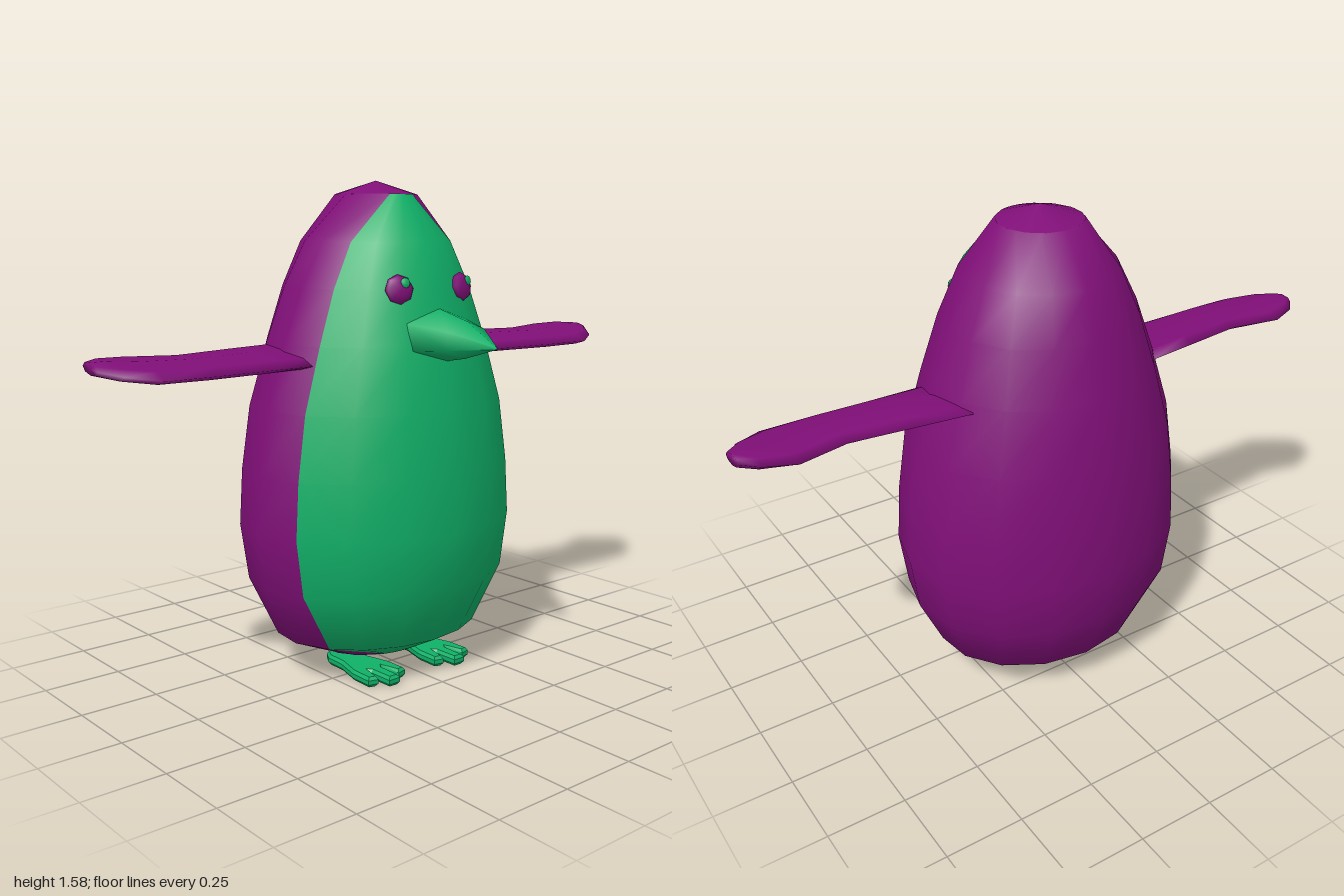
import * as THREE from 'three';

const green = new THREE.MeshStandardMaterial({ color: 0x10b068, name: 'green' });
const purple = new THREE.MeshStandardMaterial({ color: 0x800f78, name: 'purple' });

// Skin a list of rings (arrays of Vector3, equal length), capped at both ends.
// A column index below split goes to material group 0, the rest to group 1.
function loft(rings, split = Infinity) {
  const n = rings[0].length, pos = [], groups = [[], []];
  rings.forEach(r => r.forEach(p => pos.push(p.x, p.y, p.z)));
  const mid = r => r.reduce((s, p) => s.add(p), new THREE.Vector3()).divideScalar(n);
  const first = rings.length * n, last = first + 1;
  pos.push(...mid(rings[0]).toArray(), ...mid(rings[rings.length - 1]).toArray());
  for (let j = 0; j < n; j++) {
    const k = (j + 1) % n, g = groups[j < split ? 0 : 1];
    for (let i = 0; i < rings.length - 1; i++) {
      const a = i * n + j, b = i * n + k;
      g.push(a, b, b + n, a, b + n, a + n);
    }
    const top = (rings.length - 1) * n;
    groups[split === Infinity ? 0 : 1].push(first, k, j, last, top + j, top + k);
  }
  const geo = new THREE.BufferGeometry();
  geo.setAttribute('position', new THREE.Float32BufferAttribute(pos, 3));
  geo.setIndex([...groups[0], ...groups[1]]);
  geo.addGroup(0, groups[0].length, 0);
  geo.addGroup(groups[0].length, groups[1].length, 1);
  geo.computeVertexNormals();
  return geo;
}

function add(parent, name, geo, mat) {
  const m = new THREE.Mesh(geo, mat);
  m.name = name;
  parent.add(m);
  return m;
}

// Egg body: columns follow the belly edge, so the colours meet in a clean line
function bodyGeometry() {
  // y, half width, half depth, z of the belly edge
  const rows = [
    [0.06, 0.2, 0.155, 0.062], [0.13, 0.36, 0.29, 0.066], [0.32, 0.45, 0.375, 0.07],
    [0.5, 0.477, 0.391, 0.074], [0.68, 0.466, 0.385, 0.073], [0.88, 0.435, 0.37, 0.07],
    [1.08, 0.372, 0.333, 0.063], [1.25, 0.312, 0.288, 0.056], [1.39, 0.243, 0.24, 0.05],
    [1.535, 0.133, 0.133, 0.045]];
  const cz = -0.08, front = 6, back = 10;
  return loft(rows.map(([y, rx, rz, edge]) => {
    const a = Math.asin(Math.min(0.97, (edge - cz) / rz)), ring = [];
    const put = t => ring.push(new THREE.Vector3(-rx * Math.cos(t), y, cz + rz * Math.sin(t)));
    for (let i = 0; i < front; i++) put(a + (Math.PI - 2 * a) * i / front);
    for (let i = 0; i < back; i++) put(Math.PI - a + (Math.PI + 2 * a) * i / back);
    return ring;
  }), front);
}

// Flat flipper along +x, higher at its rear edge
function wingGeometry() {
  // x, rear z, front z, half thickness, height
  const rows = [
    [0.33, -0.24, 0.055, 0.024, 1.04], [0.5, -0.215, 0.058, 0.025, 1.04],
    [0.7, -0.185, 0.063, 0.025, 1.04], [0.86, -0.225, 0.065, 0.025, 1.04],
    [0.95, -0.19, 0.01, 0.024, 1.047], [1, -0.14, -0.05, 0.018, 1.052]];
  return loft(rows.map(([x, z0, z1, h, y]) => {
    const c = (z0 + z1) / 2, w = (z1 - z0) / 2;
    return Array.from({ length: 8 }, (_, i) => {
      const t = -i / 8 * Math.PI * 2, z = c + w * Math.cos(t);
      return new THREE.Vector3(x, y - (z + 0.08) * 0.12 + h * Math.sin(t), z);
    });
  }));
}

// Pointed beak along +z
function beakGeometry() {
  // z, half width, bottom y, top y
  const rows = [[0.14, 0.125, 1.02, 1.2], [0.22, 0.123, 1.025, 1.19],
    [0.34, 0.078, 1.046, 1.16], [0.47, 0.004, 1.083, 1.091]];
  return loft(rows.map(([z, w, lo, hi]) => Array.from({ length: 6 }, (_, i) => {
    const t = Math.PI / 2 + i / 6 * Math.PI * 2;
    return new THREE.Vector3(w * 1.15 * Math.cos(t), (lo + hi) / 2 + (hi - lo) / 2 * Math.sin(t), z);
  })));
}

// Three-toed webbed foot, drawn in plan and laid flat
function footGeometry() {
  const half = [[0.024, -0.13], [0.04, -0.1], [0.042, -0.03], [0.066, 0.06], [0.068, 0.135],
    [0.048, 0.14], [0.03, 0.07], [0.016, 0.09], [0.014, 0.172]];
  const mirror = half.map(([x, z]) => [-x, z]).reverse();
  const shape = new THREE.Shape([...half, ...mirror].map(p => new THREE.Vector2(...p)));
  const geo = new THREE.ExtrudeGeometry(shape, {
    depth: 0.014, bevelEnabled: true, bevelThickness: 0.01, bevelSize: 0.008, bevelSegments: 1 });
  geo.rotateX(Math.PI / 2);
  geo.translate(0, 0.024, 0);
  return geo;
}

export function createModel() {
  const root = new THREE.Group();
  root.name = 'penguin';
  add(root, 'body', bodyGeometry(), [green, purple]);
  // Small end cones closing the crown and the underside
  const crown = add(root, 'crown', new THREE.ConeGeometry(0.133, 0.043, 14), purple);
  crown.position.set(0, 1.5565, -0.08);
  const under = add(root, 'underside', new THREE.ConeGeometry(0.2, 0.012, 14), purple);
  under.scale.z = 0.775;
  under.rotation.x = Math.PI;
  under.position.set(0, 0.054, -0.08);

  add(root, 'beak', beakGeometry(), green);

  const wing = wingGeometry(), foot = footGeometry();
  for (const [side, s] of [['left', 1], ['right', -1]]) {
    add(root, side + 'Wing', wing, purple).scale.x = s;
    add(root, side + 'Foot', foot, green).position.x = s * 0.14;

    // Eye button with a small glint
    const eye = new THREE.Group();
    eye.name = side + 'Eye';
    eye.position.set(s * 0.127, 1.25, 0.184);
    eye.rotation.set(-0.2, s * 0.25, 0);
    add(eye, 'eyeball', new THREE.SphereGeometry(1, 8, 6).rotateX(Math.PI / 2), purple)
      .scale.set(0.048, 0.046, 0.022);
    const glint = add(eye, 'glint', new THREE.SphereGeometry(1, 8, 5), green);
    glint.scale.set(0.016, 0.016, 0.006);
    glint.position.set(0.014, 0.016, 0.019);
    root.add(eye);
  }
  return root;
}
